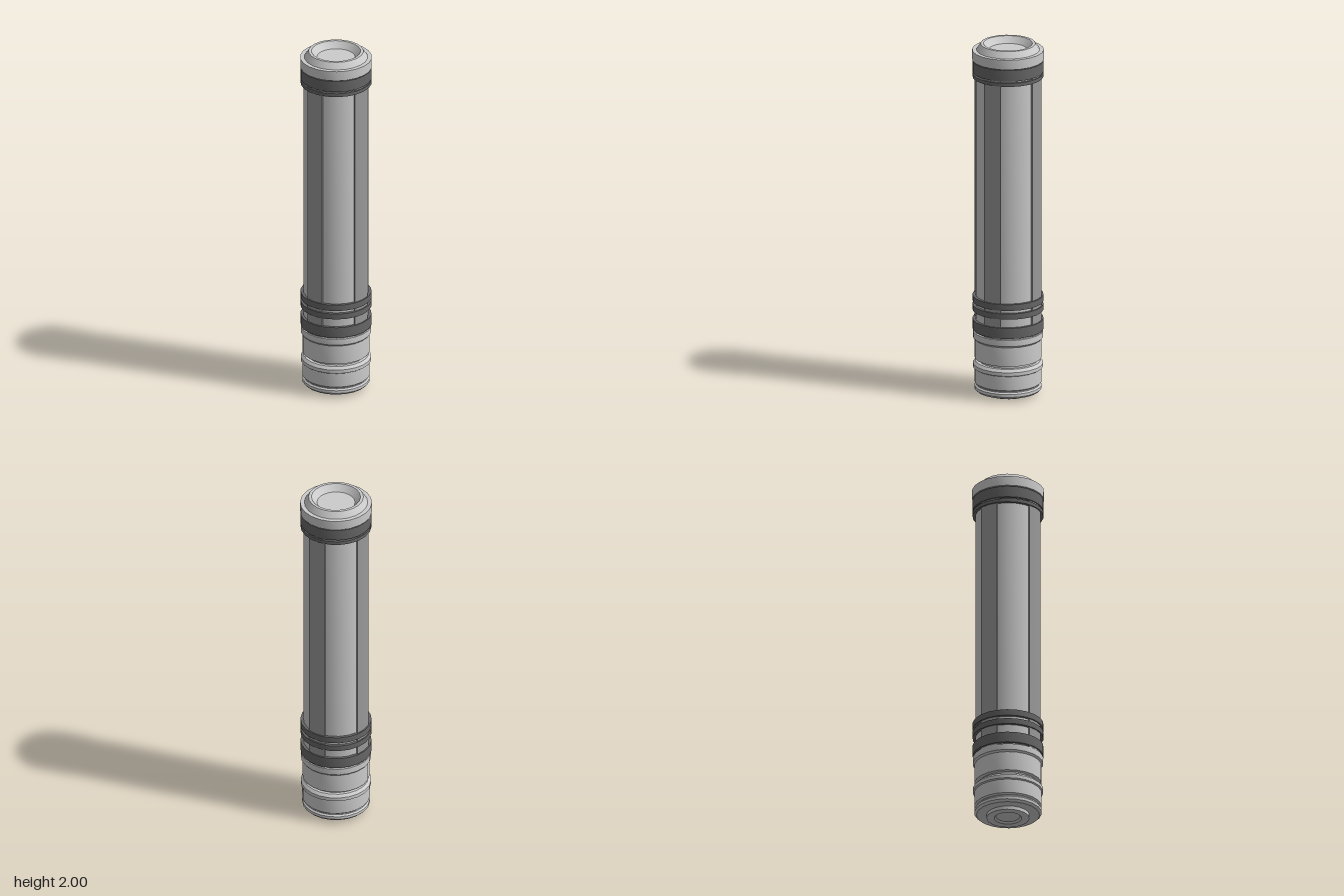
import * as THREE from 'three';
import { toCreasedNormals } from 'three/addons/utils/BufferGeometryUtils.js';

const SIDES = 22;
const material = (color) => new THREE.MeshStandardMaterial({ color });

// Turned part from [radius, y] pairs, listed from the bottom up along the outside
function turned(name, profile, mat, start = 0, sweep = Math.PI * 2, sides = SIDES) {
  const points = profile.map(([r, y]) => new THREE.Vector2(r, y));
  const geometry = toCreasedNormals(new THREE.LatheGeometry(points, sides, start, sweep), 0.4);
  const mesh = new THREE.Mesh(geometry, mat);
  mesh.name = name;
  return mesh;
}

export function createModel() {
  const model = new THREE.Group();
  model.name = 'handle';
  const metal = material(0xcccccc);
  const bandMat = material(0x666666);
  const stripMat = material(0x999999);
  stripMat.side = THREE.DoubleSide;

  // Pommel: recessed foot, lower ring, barrel, flange, neck and collar
  model.add(turned('pommel', [
    [0, 0.01], [0.065, 0.01], [0.075, 0], [0.117, 0], [0.117, 0.02], [0.172, 0.02],
    [0.184, 0.032], [0.184, 0.048], [0.175, 0.056], [0.175, 0.062], [0.184, 0.07],
    [0.184, 0.15], [0.192, 0.155], [0.192, 0.175], [0.178, 0.19], [0.16, 0.19],
    [0.16, 0.207], [0.183, 0.207], [0.183, 0.315], [0.192, 0.325], [0.192, 0.36], [0, 0.36],
  ], metal));

  // Long grip body
  model.add(turned('gripBody', [[0.178, 0.355], [0.178, 1.915]], metal));

  // Four raised strips along the grip
  const half = Math.PI / SIDES * 2;
  for (let i = 0; i < 4; i++) {
    const profile = [[0.174, 0.362], [0.187, 0.362], [0.187, 1.908], [0.174, 1.908]];
    const strip = new THREE.Group();
    strip.name = 'gripStrip';
    strip.add(turned('stripFace', profile, stripMat, i * Math.PI / 2 - half, half * 2, 2));
    // Closed long edges of the strip
    for (const side of [-1, 1]) {
      const edge = new THREE.Mesh(new THREE.PlaneGeometry(0.013, 1.546), stripMat);
      const angle = i * Math.PI / 2 + side * half;
      edge.name = 'stripEdge';
      edge.position.set(Math.sin(angle) * 0.1805, 1.135, Math.cos(angle) * 0.1805);
      edge.rotation.y = angle - Math.PI / 2;
      strip.add(edge);
    }
    model.add(strip);
  }

  // Dark bands around the grip
  for (const [low, high] of [[0.37, 0.43], [0.48, 0.512], [0.53, 0.565], [1.812, 1.832], [1.842, 1.905]]) {
    model.add(turned('gripBand', [[0.175, low], [0.194, low], [0.194, high], [0.175, high]], bandMat));
  }

  // Top cap with bevel and dished opening
  model.add(turned('topCap', [
    [0, 1.91], [0.196, 1.91], [0.196, 1.965], [0.173, 1.965], [0.15, 2],
    [0.134, 2], [0.104, 1.965], [0, 1.965],
  ], metal));

  return model;
}
